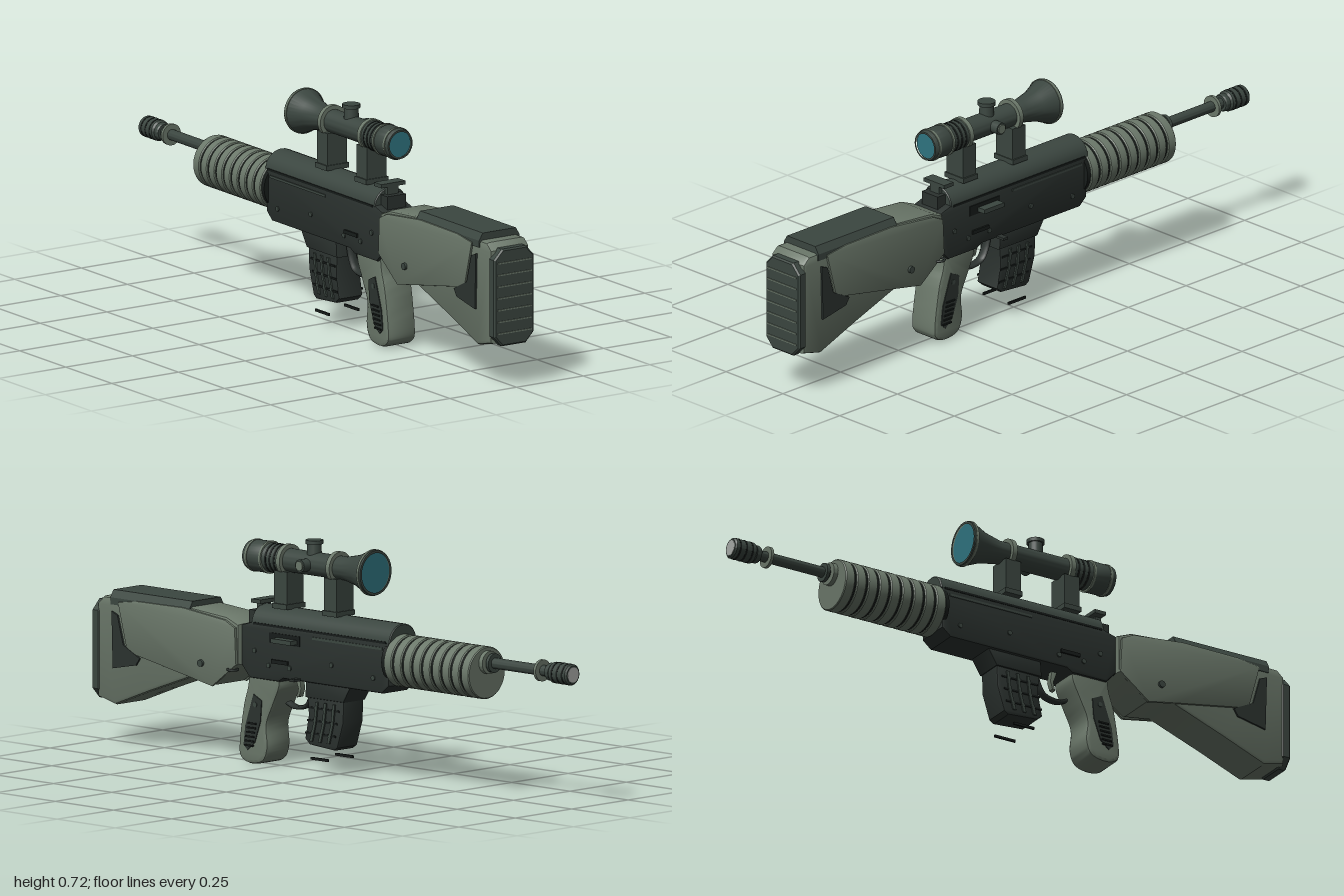
import * as THREE from 'three';
import { toCreasedNormals } from 'three/addons/utils/BufferGeometryUtils.js';

const mat = (name, color) => {
  const m = new THREE.MeshStandardMaterial({ color });
  m.name = name;
  return m;
};

export function createModel() {
  const light = mat('sage polymer', 0x6b786a);
  const dark = mat('dark green metal', 0x3b4640);
  const black = mat('near black metal', 0x2b322f);
  const groove = mat('groove black', 0x171c1a);
  const glass = mat('teal lens', 0x2f7480);
  const bore = mat('pale bore', 0xa9aca8);

  const root = new THREE.Group();
  root.name = 'scopedRifle';
  const body = new THREE.Group();
  body.name = 'body';
  body.position.x = -0.006;
  root.add(body);

  const add = (name, geo, material) => {
    const m = new THREE.Mesh(geo, material);
    m.name = name;
    body.add(m);
    return m;
  };
  const shapeOf = (pts, smooth) => {
    const v = pts.map(p => new THREE.Vector2(p[0], p[1]));
    if (!smooth) return new THREE.Shape(v);
    const s = new THREE.Shape().moveTo(v[0].x, v[0].y);
    s.splineThru(v.slice(1));
    return s;
  };
  // Side outline of [z, y] points, extruded across x around centre cx
  const side = (name, pts, half, bevel, material, cx = 0, smooth = false) => {
    const geo = new THREE.ExtrudeGeometry(shapeOf(pts, smooth), {
      depth: 2 * (half - bevel), bevelEnabled: bevel > 0, bevelThickness: bevel,
      bevelSize: bevel, bevelOffset: -bevel, bevelSegments: 2, curveSegments: 5,
    });
    geo.translate(0, 0, -(half - bevel));
    geo.rotateY(-Math.PI / 2);
    geo.translate(cx, 0, 0);
    return add(name, toCreasedNormals(geo, 0.6), material);
  };
  // Front outline of [x, y] points, extruded from z0 to z1
  const along = (name, pts, z0, z1, material, bevel = 0) => {
    const geo = new THREE.ExtrudeGeometry(shapeOf(pts), {
      depth: z1 - z0 - 2 * bevel, bevelEnabled: bevel > 0, bevelThickness: bevel,
      bevelSize: bevel, bevelOffset: -bevel, bevelSegments: 1,
    });
    geo.translate(0, 0, z0 + bevel);
    return add(name, toCreasedNormals(geo, 0.5), material);
  };
  // Turned part along z from [z, radius] points, z ascending
  const turned = (name, pts, y, material, seg = 36) => {
    const geo = new THREE.LatheGeometry(pts.map(p => new THREE.Vector2(p[1], p[0])), seg);
    geo.rotateX(Math.PI / 2);
    geo.translate(0, y, 0);
    return add(name, toCreasedNormals(geo, 0.5), material);
  };
  const disc = (name, z0, z1, r, y, material) =>
    turned(name, [[z0, 0], [z0, r], [z1, r], [z1, 0]], y, material);
  const box = (name, w, h, d, x, y, z, material) => {
    const m = add(name, new THREE.BoxGeometry(w, h, d), material);
    m.position.set(x, y, z);
    return m;
  };
  const pin = (name, r, len, x, y, z, material) => {
    const m = add(name, new THREE.CylinderGeometry(r, r, len, 16), material);
    m.rotation.z = Math.PI / 2;
    m.position.set(x, y, z);
    return m;
  };

  // Stock
  side('stock', [[0.975, 0.44], [0.95, 0.462], [0.58, 0.468], [0.42, 0.455], [0.37, 0.435],
    [0.37, 0.31], [0.4, 0.285], [0.475, 0.235], [0.57, 0.25], [0.75, 0.185], [0.9, 0.127],
    [0.975, 0.145]], 0.073, 0.012, light);
  along('cheekPad', [[-0.076, 0.44], [0.076, 0.44], [0.076, 0.462], [0.062, 0.485],
    [-0.062, 0.485], [-0.076, 0.462]], 0.575, 0.915, dark);
  for (const s of [1, -1]) {
    side('stockSidePanel', [[0.88, 0.45], [0.8, 0.462], [0.6, 0.464], [0.42, 0.445],
      [0.378, 0.425], [0.372, 0.31], [0.475, 0.232], [0.58, 0.252], [0.84, 0.3]],
      0.005, 0.002, light, s * 0.075);
    side('stockRecess', [[0.905, 0.42], [0.88, 0.41], [0.855, 0.32], [0.785, 0.285],
      [0.8, 0.262], [0.9, 0.242]], 0.003, 0, black, s * 0.0785);
    pin('stockPin', 0.011, 0.01, s * 0.083, 0.3, 0.52, dark);
  }
  const loop = add('slingLoop', new THREE.TorusGeometry(0.016, 0.004, 8, 20), black);
  loop.rotation.x = Math.PI / 2;
  loop.position.set(0.075, 0.293, 0.39);

  // Butt plate with ribs
  along('buttPlate', [[-0.045, 0.138], [0.045, 0.138], [0.075, 0.17], [0.075, 0.415],
    [0.045, 0.447], [-0.045, 0.447], [-0.075, 0.415], [-0.075, 0.17]], 0.965, 0.997, dark, 0.005);
  for (let i = 0; i < 7; i++) box('buttRib', 0.128, 0.004, 0.006, 0, 0.18 + i * 0.0373, 0.997, light);

  // Receiver
  side('receiver', [[0.37, 0.435], [0.32, 0.45], [-0.265, 0.45], [-0.265, 0.31], [-0.235, 0.284],
    [0.19, 0.284], [0.21, 0.272], [0.335, 0.272], [0.37, 0.31]], 0.06, 0.008, black);
  const arc = [];
  for (let i = 0; i <= 14; i++) {
    const a = Math.PI * i / 14;
    arc.push([0.06 * Math.cos(a), 0.445 + 0.055 * Math.sin(a)]);
  }
  along('receiverCover', arc, -0.27, 0.325, dark, 0.003);
  for (const s of [1, -1]) {
    box('coverSeam', 0.004, 0.007, 0.57, s * 0.06, 0.445, 0.03, groove);
    box('receiverRail', 0.006, 0.008, 0.3, s * 0.06, 0.425, -0.09, dark);
    for (const [z, y] of [[0.31, 0.36], [0.25, 0.32], [0.16, 0.32], [-0.02, 0.35], [-0.2, 0.33]])
      pin('receiverPin', 0.008, 0.006, s * 0.061, y, z, dark);
    box('selectorLever', 0.008, 0.012, 0.07, s * 0.062, 0.335, 0.2, groove);
  }
  box('ejectionPort', 0.006, 0.032, 0.13, 0.06, 0.408, 0.18, groove);
  box('boltHandle', 0.03, 0.014, 0.085, 0.077, 0.405, 0.168, dark);
  box('fireSelector', 0.03, 0.008, 0.02, 0.078, 0.29, 0.12, black);

  // Rear sight
  box('rearSightBase', 0.07, 0.045, 0.04, 0, 0.458, 0.338, black);
  box('rearSightPost', 0.04, 0.045, 0.02, 0, 0.49, 0.328, dark);
  box('rearSightBar', 0.09, 0.012, 0.04, 0, 0.511, 0.32, dark);

  // Magazine and its well
  side('magazineWell', [[0.1, 0.3], [-0.1, 0.3], [-0.06, 0.235], [0.105, 0.235]], 0.05, 0.005, black);
  side('magazine', [[0.1, 0.25], [-0.058, 0.25], [-0.055, 0.17], [-0.03, 0.09], [-0.015, 0.08],
    [0.09, 0.088], [0.11, 0.105], [0.095, 0.18]], 0.045, 0.006, black);
  for (const s of [1, -1]) {
    for (let i = 0; i < 3; i++) {
      const z = 0.06 - i * 0.037;
      side('magazineRib', [[z, 0.225], [z - 0.01, 0.225], [z - 0.002, 0.16], [z + 0.014, 0.1],
        [z + 0.025, 0.1], [z + 0.008, 0.16]], 0.004, 0, dark, s * 0.046);
    }
    for (let i = 0; i < 3; i++)
      box('magazineBand', 0.004, 0.006, 0.13, s * 0.046, 0.205 - i * 0.04, 0.025 + i * 0.008, groove);
    box('lowerBar', 0.006, 0.008, 0.075, s * 0.055, 0.049, 0.035, groove);
  }

  // Pistol grip with ribbed inserts
  side('pistolGrip', [[0.345, 0.285], [0.352, 0.24], [0.37, 0.18], [0.388, 0.06], [0.38, 0.018],
    [0.34, 0.002], [0.285, 0.014], [0.264, 0.06], [0.268, 0.13], [0.243, 0.19], [0.215, 0.25],
    [0.212, 0.285]], 0.053, 0.012, light, 0, true);
  for (const s of [1, -1]) {
    side('gripInsert', [[0.32, 0.222], [0.285, 0.205], [0.29, 0.14], [0.315, 0.07], [0.345, 0.045],
      [0.362, 0.06], [0.355, 0.12]], 0.003, 0, black, s * 0.053);
    for (let i = 0; i < 6; i++)
      box('gripRib', 0.008, 0.005, 0.036, s * 0.056, 0.06 + i * 0.014, 0.339 - i * 0.003, groove);
    pin('gripScrew', 0.008, 0.006, s * 0.055, 0.19, 0.312, dark);
  }

  // Trigger and guard
  const guard = new THREE.CatmullRomCurve3([[0.22, 0.2], [0.19, 0.19], [0.14, 0.2], [0.12, 0.23],
    [0.105, 0.285]].map(p => new THREE.Vector3(0, p[1], p[0])));
  const guardGeo = new THREE.TubeGeometry(guard, 20, 0.007, 8);
  guardGeo.scale(2.4, 1, 1);
  add('triggerGuard', guardGeo, black);
  side('trigger', [[0.185, 0.285], [0.165, 0.285], [0.16, 0.25], [0.168, 0.225], [0.178, 0.222],
    [0.172, 0.25]], 0.01, 0.002, light);

  // Ribbed handguard
  turned('handguardCore', [[-0.625, 0], [-0.625, 0.077], [-0.25, 0.077], [-0.25, 0]], 0.386, groove);
  for (let i = 0; i < 9; i++) {
    const z = -0.63 + i * 0.0415;
    turned('handguardRib', [[z, 0], [z, 0.079], [z + 0.003, 0.082], [z + 0.031, 0.082],
      [z + 0.034, 0.079], [z + 0.034, 0]], 0.386, light);
  }

  // Barrel and muzzle
  const by = 0.42;
  disc('barrel', -0.95, -0.6, 0.017, by, dark);
  disc('barrelHub', -0.645, -0.62, 0.036, by, light);
  disc('barrelCollar', -0.665, -0.654, 0.03, by, dark);
  disc('barrelRing', -0.872, -0.862, 0.034, by, light);
  turned('muzzleBrake', [[-1, 0], [-1, 0.028], [-0.995, 0.033], [-0.925, 0.033], [-0.918, 0.028],
    [-0.905, 0.028], [-0.9, 0.025], [-0.9, 0]], by, dark);
  for (let i = 0; i < 3; i++) disc('muzzleGroove', -0.985 + i * 0.022, -0.979 + i * 0.022, 0.0338, by, groove);
  disc('muzzleBore', -1.001, -0.998, 0.024, by, bore);

  // Scope
  const sy = 0.646;
  turned('scopeTube', [[-0.152, 0.062], [-0.152, 0.07], [-0.14, 0.071], [-0.09, 0.05], [-0.03, 0.037],
    [0.215, 0.037], [0.225, 0.046], [0.3, 0.046], [0.31, 0.05], [0.37, 0.049], [0.378, 0.046],
    [0.378, 0.04]], sy, dark);
  disc('frontLens', -0.147, -0.14, 0.064, sy, glass);
  disc('rearLens', 0.365, 0.374, 0.041, sy, glass);
  for (const z of [0.222, 0.008]) disc('scopeRing', z - 0.008, z + 0.008, 0.05, sy, light);
  disc('objectiveRim', -0.146, -0.138, 0.0725, sy, light);
  for (const z of [0.3, 0.36]) disc('eyepieceBand', z - 0.004, z + 0.004, 0.0515, sy, light);
  for (let i = 0; i < 3; i++) disc('eyepieceGroove', 0.24 + i * 0.018, 0.247 + i * 0.018, 0.047, sy, groove);
  for (const z of [0.222, 0.008]) {
    box('scopeMount', 0.074, 0.115, 0.055, 0, 0.557, z, dark);
    box('mountFoot', 0.084, 0.016, 0.062, 0, 0.505, z, dark);
  }
  const turret = add('topTurret', new THREE.CylinderGeometry(0.022, 0.024, 0.05, 20), dark);
  turret.position.set(0, 0.69, 0.112);
  const cap = add('topTurretCap', new THREE.CylinderGeometry(0.028, 0.028, 0.012, 20), dark);
  cap.position.set(0, 0.715, 0.112);
  pin('sideTurret', 0.02, 0.03, 0.05, sy, 0.112, dark);
  pin('sideTurretCap', 0.015, 0.006, 0.066, sy, 0.112, light);

  return root;
}
